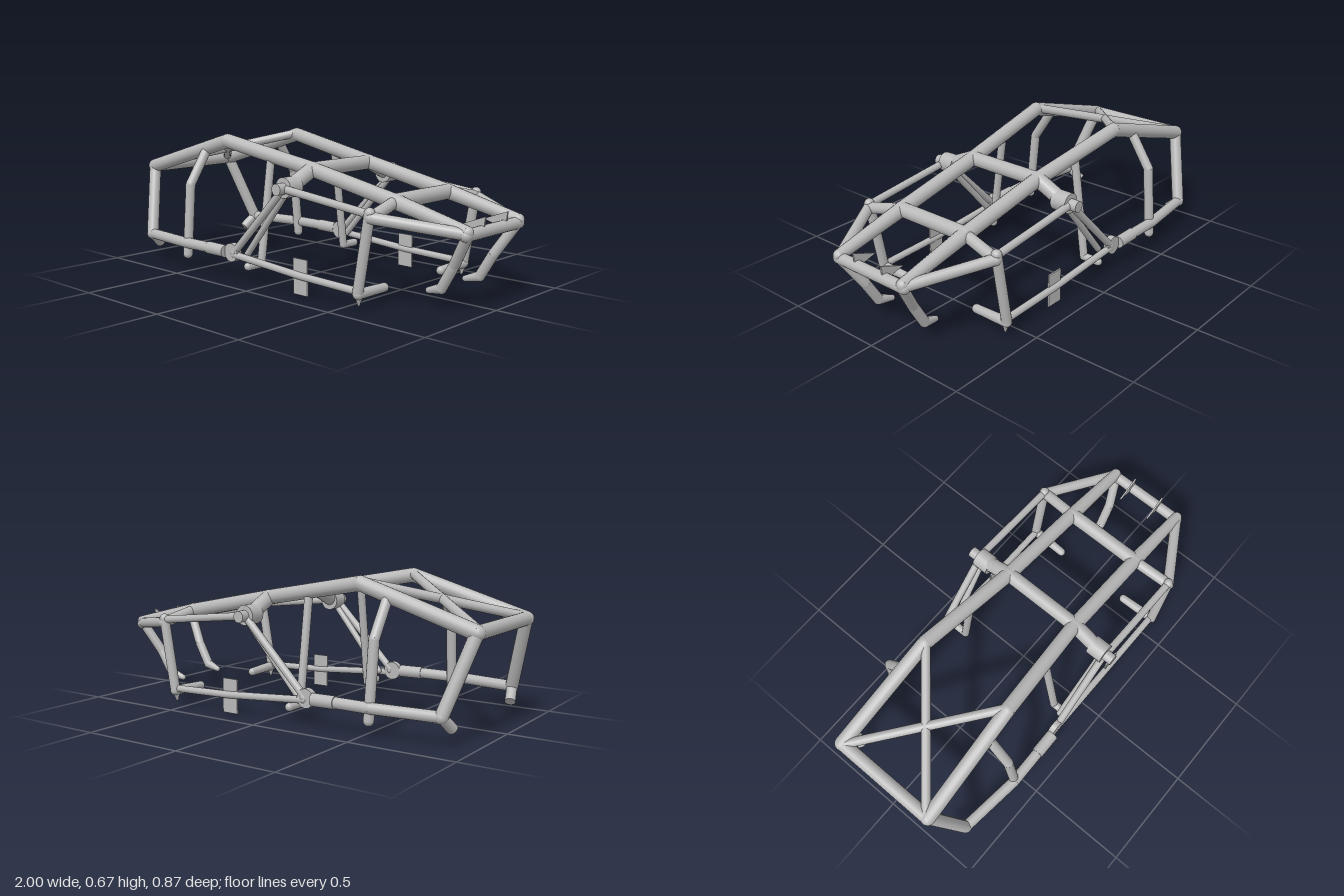
import * as THREE from 'three';

const steel = new THREE.MeshStandardMaterial({ color: 0xb8b8b8 });
steel.name = 'steelGrey';
const steelThin = steel; // one colour throughout
const UP = new THREE.Vector3(0, 1, 0);

// Round tube through a list of points, with rounded elbows at the given ends
function pipe(name, points, r, r2 = r, capEnds = true) {
  const g = new THREE.Group();
  g.name = name;
  const p = points.map((a) => new THREE.Vector3(...a));
  for (let i = 0; i < p.length - 1; i++) {
    const d = p[i + 1].clone().sub(p[i]);
    const last = i === p.length - 2;
    const m = new THREE.Mesh(new THREE.CylinderGeometry(last ? r2 : r, r, d.length(), 16), steel);
    m.name = name + 'Tube';
    m.position.copy(p[i]).addScaledVector(d, 0.5);
    m.quaternion.setFromUnitVectors(UP, d.normalize());
    g.add(m);
  }
  p.forEach((v, i) => {
    const end = i === 0 || i === p.length - 1;
    if (end && !capEnds) return;
    const s = new THREE.Mesh(new THREE.SphereGeometry(i === p.length - 1 ? r2 : r, 16, 10), steelThin);
    s.name = name + 'Joint';
    s.position.copy(v);
    g.add(s);
  });
  return g;
}

// Thin plate cut from an outline in the xy plane
function plate(name, outline, z, t = 0.008) {
  const shape = new THREE.Shape(outline.map((a) => new THREE.Vector2(...a)));
  const geo = new THREE.ExtrudeGeometry(shape, { depth: t, bevelEnabled: false });
  geo.translate(0, 0, z - t / 2);
  const m = new THREE.Mesh(geo, steel);
  m.name = name;
  return m;
}

export function createModel() {
  const model = new THREE.Group();
  model.name = 'tubeFrame';

  for (const s of [1, -1]) {
    const side = new THREE.Group();
    side.name = s > 0 ? 'frontFacingSide' : 'backFacingSide';
    const add = (name, pts, r, r2, caps) =>
      side.add(pipe(name, pts.map(([x, y, z]) => [x, y, z * s]), r, r2, caps));

    // Main upper rail
    add('mainRail', [[-0.965, 0.47, 0.26], [-0.4, 0.638, 0.243], [0.13, 0.54, 0.2],
      [0.61, 0.442, 0.195], [0.975, 0.358, 0.195]], 0.035, 0.027);
    // Rear post, lower rail and foot
    add('rearPost', [[-0.965, 0.47, 0.26], [-0.865, 0.13, 0.365]], 0.03);
    add('lowerRail', [[-0.865, 0.13, 0.365], [-0.55, 0.132, 0.402], [-0.36, 0.132, 0.399]], 0.026);
    add('railSleeve', [[-0.375, 0.132, 0.399], [-0.255, 0.13, 0.397]], 0.03, 0.03, false);
    add('rearFoot', [[-0.865, 0.13, 0.365], [-0.885, 0.07, 0.3]], 0.025, 0.025, false);
    // Bent and straight side posts
    add('bentPost', [[-0.545, 0.595, 0.25], [-0.545, 0.42, 0.365], [-0.54, 0.075, 0.395]], 0.024);
    add('middlePost', [[-0.115, 0.575, 0.225], [-0.115, 0.075, 0.295], [-0.115, 0.075, 0.38]], 0.02);
    // Middle pivot: drop arm, sleeve and end cap
    add('pivotArm', [[0.13, 0.54, 0.2], [0.13, 0.48, 0.33]], 0.036);
    add('pivotSleeve', [[0.13, 0.473, 0.31], [0.13, 0.473, 0.39]], 0.048, 0.048, false);
    add('pivotCap', [[0.13, 0.47, 0.38], [0.13, 0.47, 0.435]], 0.027, 0.027, false);
    // Twin diagonal struts down to the hinge
    add('rearStrut', [[0.12, 0.46, 0.385], [-0.205, 0.13, 0.385]], 0.018);
    add('innerStrut', [[0.13, 0.45, 0.37], [-0.145, 0.125, 0.355]], 0.016);
    add('hinge', [[-0.215, 0.13, 0.37], [-0.215, 0.13, 0.4]], 0.045, 0.045, false);
    add('hingeTip', [[-0.2, 0.13, 0.385], [-0.245, 0.13, 0.385]], 0.02, 0.006);
    // Thin side rails
    add('upperSideRail', [[0.13, 0.47, 0.39], [0.625, 0.415, 0.39]], 0.018);
    add('lowerSideRail', [[-0.205, 0.12, 0.387], [0.23, 0.088, 0.385], [0.57, 0.078, 0.385]], 0.017);
    side.add(plate('stepPlate', [[0.185, 0], [0.27, 0], [0.27, 0.165], [0.185, 0.165]], 0.38 * s));
    // Front side post with its inward foot
    add('frontPost', [[0.63, 0.42, 0.39], [0.57, 0.075, 0.39]], 0.024);
    add('frontFoot', [[0.57, 0.068, 0.39], [0.565, 0.063, 0.21]], 0.024, 0.021);
    add('footSpur', [[0.57, 0.075, 0.385], [0.567, 0.02, 0.38]], 0.022, 0.006);
    // Braces around the front corner
    add('cornerBrace', [[0.61, 0.442, 0.195], [0.635, 0.4, 0.39]], 0.027);
    add('noseBrace', [[0.635, 0.4, 0.39], [0.975, 0.348, 0.195]], 0.026);
    // Hooked front leg
    add('frontLeg', [[0.975, 0.345, 0.19], [0.885, 0.2, 0.15], [0.82, 0.09, 0.145], [0.75, 0.07, 0.138]],
      0.024, 0.014);
    // Pointed tab on the nose bar
    side.add(plate('noseTab', [[0.87, 0.365], [0.98, 0.335], [0.99, 0.41]], 0.085 * s));
    model.add(side);

    // One arm of the rear cross brace
    model.add(pipe('crossBrace', [[-0.965, 0.48, 0.25 * s], [-0.4, 0.645, -0.238 * s]], 0.022));
  }

  // Bars running across the frame: x, y, half width, radius
  for (const [name, x, y, w, r] of [
    ['rearBar', -0.965, 0.47, 0.26, 0.032], ['middleBar', 0.13, 0.538, 0.2, 0.035],
    ['frontBar', 0.61, 0.443, 0.195, 0.035], ['noseBar', 0.972, 0.344, 0.2, 0.027],
  ]) model.add(pipe(name, [[x, y, -w], [x, y, w]], r));

  return model;
}
